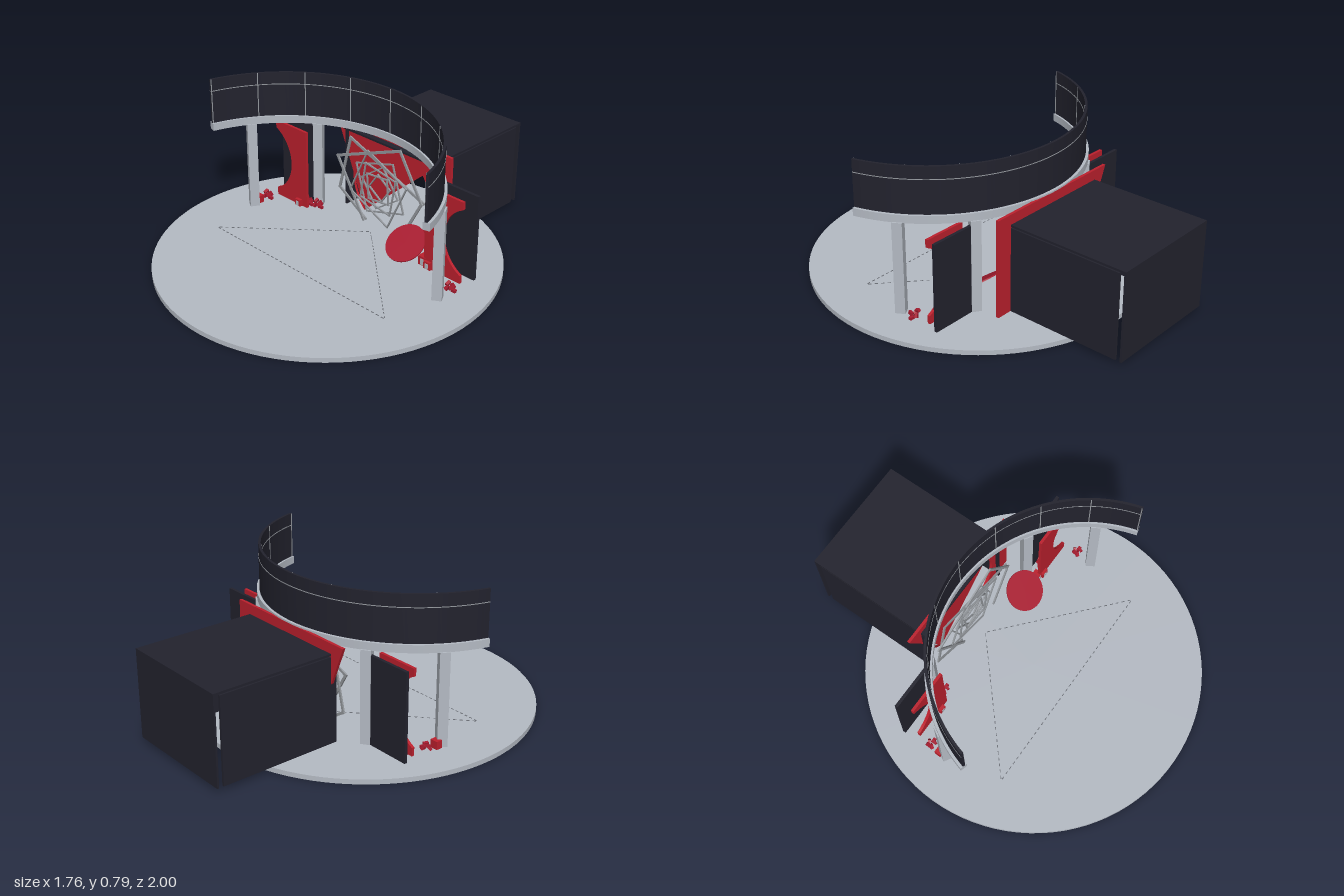
import * as THREE from 'three';

const mat = (name, color) => {
  const m = new THREE.MeshStandardMaterial({ color });
  m.name = name;
  return m;
};

export function createModel() {
  const root = new THREE.Group();
  root.name = 'stageSet';
  const M = {
    pale: mat('paleGrey', 0xb4bac3),
    dark: mat('darkNavy', 0x22222d),
    red: mat('stageRed', 0xbc202d),
    crimson: mat('crimson', 0xa81c30),
    steel: mat('steelGrey', 0x93979c),
    dash: mat('dashGrey', 0x6d7178),
  };
  const FLOOR = 0.025, ARC_Z = 0.43, ARC_HALF = THREE.MathUtils.degToRad(75);

  const add = (parent, name, geo, material, x = 0, y = 0, z = 0) => {
    const mesh = new THREE.Mesh(geo, material);
    mesh.name = name;
    mesh.position.set(x, y, z);
    parent.add(mesh);
    return mesh;
  };
  const box = (parent, name, w, h, d, material, x, y, z) =>
    add(parent, name, new THREE.BoxGeometry(w, h, d), material, x, y, z);

  // Curved band standing on the arc behind the stage
  const arcBand = (name, r0, r1, y0, y1, material) => {
    const s = new THREE.Shape();
    const a0 = Math.PI / 2 - ARC_HALF, a1 = Math.PI / 2 + ARC_HALF;
    s.absarc(0, 0, r1, a0, a1, false);
    s.absarc(0, 0, r0, a1, a0, true);
    const g = new THREE.ExtrudeGeometry(s, { depth: y1 - y0, bevelEnabled: false, curveSegments: 48 });
    g.rotateX(-Math.PI / 2);
    add(root, name, g, material, 0, y0, ARC_Z);
  };
  const onArc = (mesh, r, deg) => {
    const a = THREE.MathUtils.degToRad(deg);
    mesh.position.x = r * Math.sin(a);
    mesh.position.z = ARC_Z - r * Math.cos(a);
    mesh.rotation.y = -a;
  };

  // Round floor
  add(root, 'floor', new THREE.CylinderGeometry(0.88, 0.88, FLOOR, 96), M.pale, 0, FLOOR / 2, 0.12);

  // Dashed triangle on the floor
  const corners = [[0, -0.19], [0.6, 0.34], [-0.6, 0.34]];
  corners.forEach(([x0, z0], i) => {
    const [x1, z1] = corners[(i + 1) % 3];
    const len = Math.hypot(x1 - x0, z1 - z0), n = Math.round(len / 0.032);
    for (let k = 0; k < n; k++) {
      const t = (k + 0.5) / n;
      const d = box(root, 'floorDash', 0.016, 0.002, 0.004, M.dash,
        x0 + (x1 - x0) * t, FLOOR + 0.001, z0 + (z1 - z0) * t);
      d.rotation.y = -Math.atan2(z1 - z0, x1 - x0);
    }
  });

  // Curved beam, screen and its seams
  arcBand('beam', 0.745, 0.782, 0.508, 0.548, M.pale);
  arcBand('screen', 0.755, 0.768, 0.548, 0.79, M.dark);
  arcBand('screenSeam', 0.7535, 0.7695, 0.723, 0.727, M.steel);
  for (let i = 0; i < 9; i++) {
    const seam = box(root, 'screenDivider', 0.005, 0.242, 0.003, M.steel, 0, 0.669, 0);
    onArc(seam, 0.7545, -74.7 + i * 18.675);
  }

  // Columns
  for (const deg of [-59, -32.4, 32.4, 59]) {
    const c = box(root, 'column', 0.05, 0.485, 0.05, M.pale, 0, FLOOR + 0.2425, 0);
    onArc(c, 0.765, deg);
  }

  // Red back wall with a round doorway
  const slab = (parent, name, shape, z) => add(parent, name,
    new THREE.ExtrudeGeometry(shape, { depth: 0.015, bevelEnabled: false, curveSegments: 40 }), M.red, 0, 0, z);
  const low = Math.asin((0.22 - FLOOR) / 0.27);
  const back = new THREE.Shape();
  back.moveTo(-0.4, FLOOR);
  back.absarc(0, 0.22, 0.27, Math.PI + low, -low, true);
  back.lineTo(0.4, FLOOR);
  back.lineTo(0.4, 0.54);
  back.lineTo(-0.4, 0.54);
  slab(root, 'backWall', back, -0.352);

  // Dark open-bottomed room behind the doorway
  for (const s of [-1, 1]) box(root, 'roomSide', 0.012, 0.446, 0.645, M.dark, s * 0.309, 0.248, -0.6425);
  box(root, 'roomRoof', 0.63, 0.011, 0.695, M.dark, 0, 0.4825, -0.6525);
  box(root, 'roomBack', 0.63, 0.463, 0.01, M.dark, 0, 0.2565, -0.995);

  // Mirrored wings: red panel with a curved cut, dark wall behind
  for (const side of [-1, 1]) {
    const wing = new THREE.Group();
    wing.name = side > 0 ? 'leftWing' : 'rightWing';
    wing.scale.x = side;
    root.add(wing);
    const cut = Math.atan2(0.181, -0.085);
    const p = new THREE.Shape();
    p.moveTo(0.42, FLOOR);
    p.lineTo(0.65, FLOOR);
    p.absarc(0.735, 0.25, 0.2, 2 * Math.PI - cut, cut, true);
    p.lineTo(0.65, 0.472);
    p.lineTo(0.42, 0.472);
    slab(wing, 'wingPanel', p, -0.147);
    box(wing, 'wingWall', 0.27, 0.46, 0.016, M.dark, 0.545, 0.255, -0.212);
  }

  // Sculpture of nested tilted frames
  const sculpture = new THREE.Group();
  sculpture.name = 'frameSculpture';
  root.add(sculpture);
  const bars = (pts, t, z, closed) => {
    const n = closed ? pts.length : pts.length - 1;
    for (let i = 0; i < n; i++) {
      const [x0, y0] = pts[i], [x1, y1] = pts[(i + 1) % pts.length];
      const b = box(sculpture, 'frameBar', Math.hypot(x1 - x0, y1 - y0) + t, t, 0.008, M.steel,
        (x0 + x1) / 2, (y0 + y1) / 2, z);
      b.rotation.z = Math.atan2(y1 - y0, x1 - x0);
    }
  };
  bars([[-0.11, 0.032], [-0.3, 0.345], [0.14, 0.52], [0.29, 0.275], [0.16, 0.032]], 0.014, -0.25, false);
  bars([[-0.11, 0.032], [-0.3, 0.155], [-0.22, 0.47], [0.29, 0.275]], 0.014, -0.265, false);
  [[0.21, 20], [0.19, 62], [0.15, 35], [0.13, 80], [0.1, 50], [0.075, 10]].forEach(([r, deg], i) => {
    const pts = [0, 1, 2, 3].map((k) => {
      const a = THREE.MathUtils.degToRad(deg + 90 * k);
      return [-0.01 + r * Math.cos(a), 0.25 + r * Math.sin(a)];
    });
    bars(pts, 0.007, i % 2 ? -0.265 : -0.25, true);
  });

  // Tilted round dish
  const dish = add(root, 'tiltedDish', new THREE.CylinderGeometry(0.108, 0.108, 0.006, 48), M.crimson, 0.29, 0.1, -0.14);
  dish.rotation.x = THREE.MathUtils.degToRad(35);

  // Small cube stools: x, z, size
  for (const [x, z, s] of [[-0.66, 0, 0.042], [-0.475, -0.13, 0.038], [0.41, -0.15, 0.05], [0.45, -0.135, 0.042], [0.49, -0.16, 0.05]]) {
    box(root, 'stool', s, s, s * 0.8, M.red, x, FLOOR + s / 2, z);
    box(root, 'stoolFront', s * 0.45, s * 0.7, 0.003, M.pale, x, FLOOR + s * 0.4, z + s * 0.4 + 0.001);
  }

  // Small piles of tumbled blocks
  for (const [x, z] of [[-0.65, -0.06], [-0.44, -0.165], [-0.38, -0.18], [0.5, -0.18], [0.66, -0.055]]) {
    for (let k = 0; k < 5; k++) {
      const b = box(root, 'tumbledBlock', 0.026, 0.014, 0.016, M.crimson,
        x + 0.019 * Math.cos(k * 2.4), FLOOR + 0.011 + 0.006 * k, z + 0.015 * Math.sin(k * 2.4));
      b.rotation.set(k * 0.5, k * 1.1, k * 0.4);
    }
  }
  return root;
}
